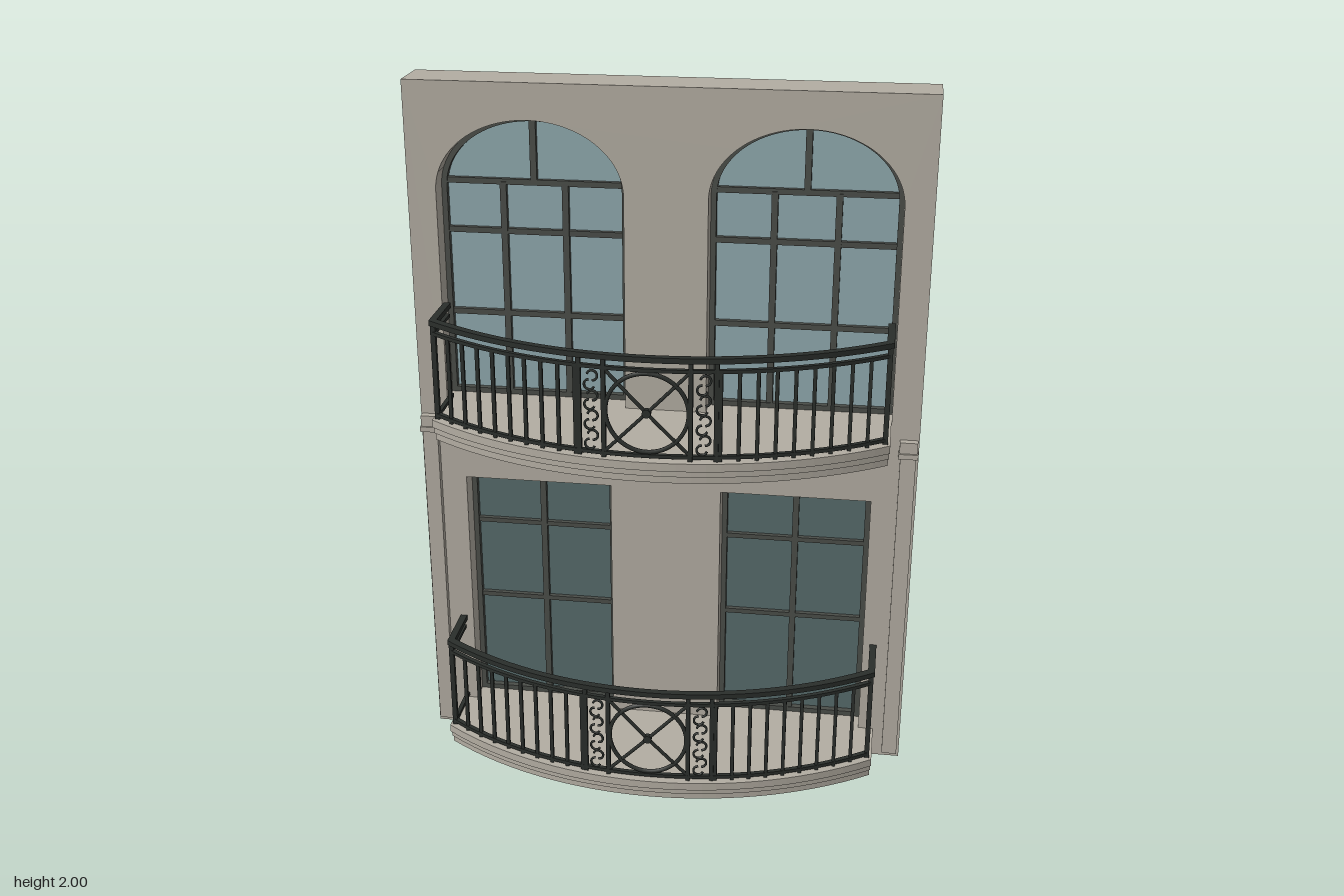
import * as THREE from 'three';

const material = (name, color) => {
  const m = new THREE.MeshStandardMaterial({ color });
  m.name = name;
  return m;
};
const stone = material('stone', 0xb3ada2);
const frameMetal = material('window frame', 0x4a4d48);
const iron = material('wrought iron', 0x2a2e2b);
const paleGlass = material('pale glass', 0x8fa9ad);
const darkGlass = material('dark glass', 0x566a6a);

const WALL_FRONT = -0.115, WALL_BACK = -0.255;
const GLASS_Z = -0.2;

function add(parent, name, geometry, mat, x = 0, y = 0, z = 0) {
  const mesh = new THREE.Mesh(geometry, mat);
  mesh.name = name;
  mesh.position.set(x, y, z);
  parent.add(mesh);
  return mesh;
}
const box = (w, h, d) => new THREE.BoxGeometry(w, h, d);
const extrude = (shape, depth) =>
  new THREE.ExtrudeGeometry(shape, { depth, bevelEnabled: false, curveSegments: 24 });

// Window outline; rise = 0 gives a plain rectangle
function opening(cx, half, y0, y1, rise, inset = 0, Kind = THREE.Shape) {
  const s = new Kind(), h = half - inset;
  s.moveTo(cx - h, y0 + inset);
  s.lineTo(cx + h, y0 + inset);
  if (rise) {
    s.lineTo(cx + h, y1);
    s.absellipse(cx, y1, h, rise - inset, 0, Math.PI, false, 0);
  } else {
    s.lineTo(cx + h, y1 - inset);
    s.lineTo(cx - h, y1 - inset);
  }
  s.closePath();
  return s;
}

// Bowed balcony front: depth at x, for an arc with the given apex and corner
const SIDE = 0.63;
function bowZ(x, apex, half, corner) {
  const sag = apex - corner, r = (half * half + sag * sag) / (2 * sag);
  return apex - r + Math.sqrt(r * r - x * x);
}
// Plan outline from wall to wall, drawn with y = -z
function plan(half, apex, corner) {
  const pts = [new THREE.Vector2(-half, -WALL_FRONT)];
  for (let i = 0; i <= 32; i++) {
    const x = -half + (2 * half * i) / 32;
    pts.push(new THREE.Vector2(x, -bowZ(x, apex, half, corner)));
  }
  pts.push(new THREE.Vector2(half, -WALL_FRONT));
  return pts;
}
const flat = (points, height) => extrude(new THREE.Shape(points), height).rotateX(-Math.PI / 2);

// Railing centre line
const RAIL = { half: 0.62, apex: 0.235, corner: 0.036 };
const railZ = x => bowZ(x, RAIL.apex, RAIL.half, RAIL.corner);
function railBand(width, height) {
  const t = width / 2;
  const outer = plan(RAIL.half + t, RAIL.apex + t, RAIL.corner + t * 0.7);
  const inner = plan(RAIL.half - t, RAIL.apex - t, RAIL.corner - t * 0.7);
  return flat([...outer, ...inner.reverse()], height);
}
// Tube through flat [x, y] points, bent onto the bow
function bentTube(points, radius, closed = false) {
  const curve = new THREE.CatmullRomCurve3(
    points.map(([x, y]) => new THREE.Vector3(x, y, railZ(x))), closed);
  return new THREE.TubeGeometry(curve, points.length * 2, radius, 6, closed);
}
function circle(cx, cy, r, n, start = 0, sweep = Math.PI * 2) {
  return Array.from({ length: n }, (_, i) => {
    const a = start + (sweep * i) / n;
    return [cx + r * Math.cos(a), cy + r * Math.sin(a)];
  });
}

function balcony() {
  const g = new THREE.Group();
  // Stepped slab
  [[0.0, 0.022, 0.235, 0.035], [0.022, 0.02, 0.244, 0.042], [0.042, 0.023, 0.255, 0.05]]
    .forEach(([y, h, apex, corner], i) =>
      add(g, 'slabStep' + (i + 1), flat(plan(SIDE + i * 0.002, apex, corner), h), stone, 0, y));
  // Rails
  add(g, 'handrail', railBand(0.02, 0.015), iron, 0, 0.34);
  add(g, 'upperRail', railBand(0.012, 0.01), iron, 0, 0.312);
  add(g, 'lowerRail', railBand(0.012, 0.01), iron, 0, 0.072);

  for (const s of [-1, 1]) {
    // Balusters
    for (let i = 0; i < 10; i++) {
      const x = s * (RAIL.half - i * 0.0475), post = i === 0;
      const h = post ? 0.285 : 0.25, w = post ? 0.014 : 0.01;
      add(g, post ? 'cornerPost' : 'baluster', box(w, h, w), iron, x, 0.065 + h / 2, railZ(x));
    }
    // Posts framing the scroll panel
    for (const px of [0.115, 0.182]) {
      add(g, 'panelPost', box(0.012, 0.285, 0.012), iron, s * px, 0.2075, railZ(px));
    }
    // Stacked scrolls
    for (let row = 0; row < 4; row++) {
      const y = 0.11 + row * 0.056;
      for (const d of [-1, 1]) {
        const pts = circle(s * 0.149 + d * 0.004, y + d * 0.013, 0.014, 9,
          d > 0 ? -Math.PI / 2 : Math.PI / 2, Math.PI * 1.6);
        add(g, 'scroll', bentTube(pts, 0.0035), iron);
      }
    }
    // Diagonal bars of the centre panel
    const diagonal = Array.from({ length: 9 }, (_, i) => {
      const t = i / 4 - 1;
      return [s * t * 0.112, 0.197 + t * 0.115];
    });
    add(g, 'diagonalBar', bentTube(diagonal, 0.005), iron);
  }
  add(g, 'ring', bentTube(circle(0, 0.197, 0.11, 32), 0.006, true), iron);
  add(g, 'boss', new THREE.CylinderGeometry(0.012, 0.012, 0.016, 12).rotateX(Math.PI / 2),
    iron, 0, 0.197, railZ(0));
  return g;
}

function windowUnit(spec, cx) {
  const g = new THREE.Group();
  const { half, y0, y1, rise, glass, bars, mullions } = spec;
  const outline = inset => opening(cx, half, y0, y1, rise, inset);
  add(g, 'glass', extrude(outline(0), 0.006), glass, 0, 0, GLASS_Z);
  const rim = outline(0);
  rim.holes.push(opening(cx, half, y0, y1, rise, 0.015, THREE.Path));
  add(g, 'frame', extrude(rim, 0.018), frameMetal, 0, 0, GLASS_Z + 0.006);
  for (const [y, h] of bars) {
    add(g, 'glazingBar', box(half * 2 - 0.02, h, 0.014), frameMetal, cx, y, GLASS_Z + 0.013);
  }
  for (const [dx, a, b] of mullions) {
    add(g, 'mullion', box(0.018, b - a, 0.016), frameMetal, cx + dx, (a + b) / 2, GLASS_Z + 0.014);
  }
  return g;
}

export function createModel() {
  const model = new THREE.Group();
  model.name = 'balconyFacade';

  const arched = {
    name: 'archedWindow', cx: 0.375, half: 0.26, y0: 1.09, y1: 1.7, rise: 0.2, glass: paleGlass,
    bars: [[1.715, 0.016], [1.575, 0.016], [1.335, 0.016]],
    mullions: [[-0.087, 1.1, 1.715], [0.087, 1.1, 1.715], [0, 1.715, 1.89]],
  };
  const square = {
    name: 'lowerWindow', cx: 0.375, half: 0.215, y0: 0.09, y1: 0.845, rise: 0, glass: darkGlass,
    bars: [[0.677, 0.014], [0.425, 0.014]],
    mullions: [[0, 0.1, 0.84]],
  };

  // Wall with four openings
  const wall = new THREE.Shape();
  wall.moveTo(-0.715, 0);
  wall.lineTo(0.715, 0);
  wall.lineTo(0.715, 2);
  wall.lineTo(-0.715, 2);
  wall.closePath();

  for (const spec of [arched, square]) {
    for (const s of [-1, 1]) {
      const cx = s * spec.cx;
      wall.holes.push(opening(cx, spec.half, spec.y0, spec.y1, spec.rise, 0, THREE.Path));
      const unit = windowUnit(spec, cx);
      unit.name = spec.name;
      model.add(unit);
    }
  }
  add(model, 'wall', extrude(wall, WALL_FRONT - WALL_BACK), stone, 0, 0, WALL_BACK);

  // Corner pilasters with a small capital
  for (const s of [-1, 1]) {
    const p = new THREE.Group();
    p.name = 'pilaster';
    p.position.set(s * 0.686, 0, WALL_FRONT);
    add(p, 'shaft', box(0.044, 1.0, 0.04), stone, 0, 0.52, 0);
    add(p, 'capital', box(0.05, 0.05, 0.044), stone, 0, 1.015, 0);
    add(p, 'capitalBand', box(0.055, 0.015, 0.056), stone, 0, 1.0, 0);
    model.add(p);
  }

  // Two matching balconies
  for (const [name, y] of [['lowerBalcony', 0.025], ['upperBalcony', 1.025]]) {
    const b = balcony();
    b.name = name;
    b.position.y = y;
    model.add(b);
  }
  return model;
}
